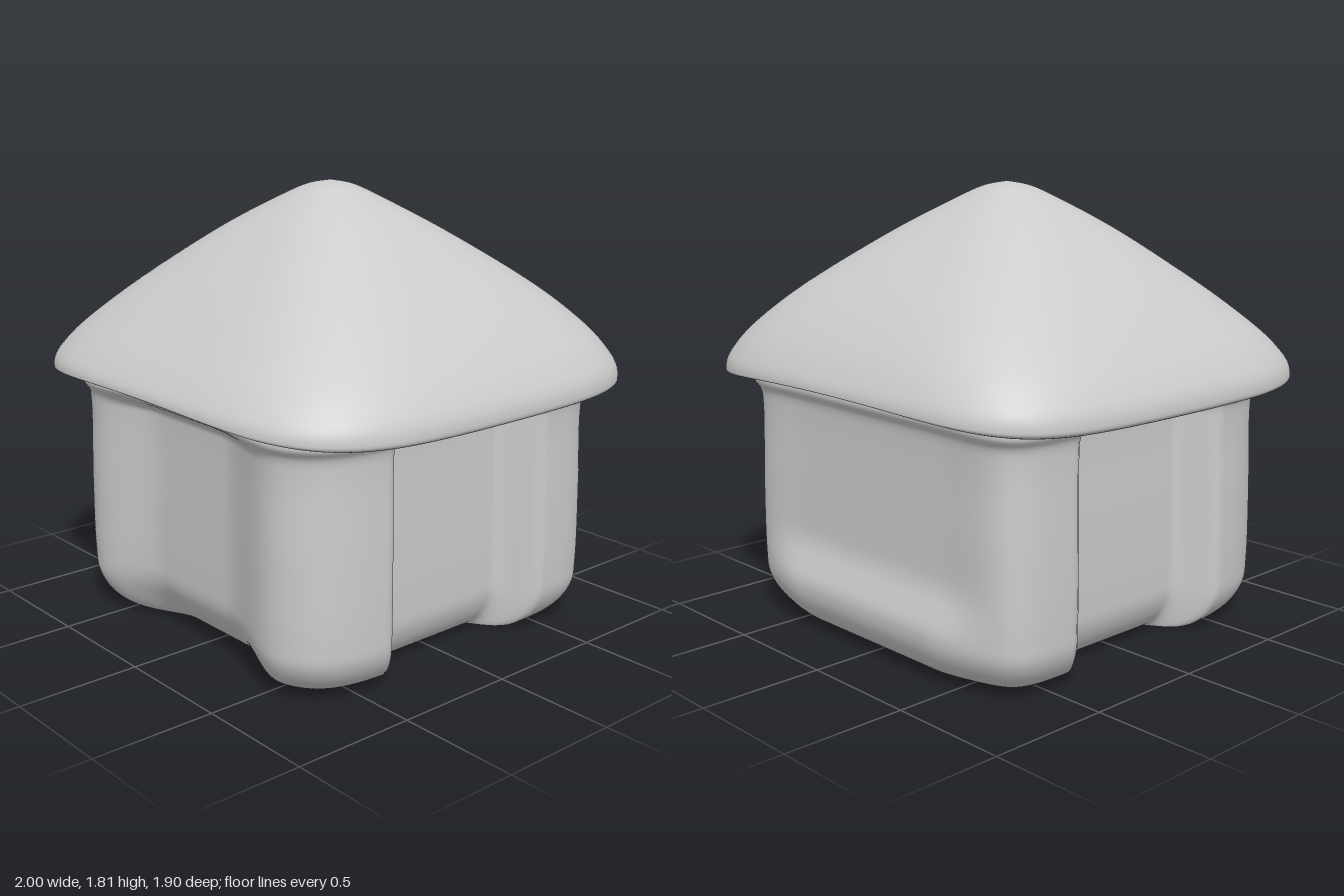
import * as THREE from 'three';

const SEGMENTS = 320;
const { lerp } = THREE.MathUtils;
const smooth = (a, b, v) => THREE.MathUtils.smoothstep(v, a, b);
const material = new THREE.MeshStandardMaterial({ color: 0xcccccc });

// Unit rounded square: point at an angle (0 = front, growing towards +x).
function roundedSquare(angle, n) {
  const x = Math.sin(angle), z = Math.cos(angle);
  const k = Math.pow(Math.abs(x) ** n + Math.abs(z) ** n, -1 / n);
  return [x * k, z * k];
}

// Smooth curve through a few profile points.
function profile(points, steps) {
  const vectors = points.map(([x, y, z = 0]) => new THREE.Vector3(x, y, z));
  return new THREE.CatmullRomCurve3(vectors, false, 'centripetal').getPoints(steps);
}

// Skin of closed rings stacked from bottom to top; pointAt returns [x, y, z].
function loft(name, rings, pointAt) {
  const positions = [], indices = [];
  rings.forEach((ring, i) => {
    for (let j = 0; j < SEGMENTS; j++) {
      positions.push(...pointAt(ring, (j / SEGMENTS) * Math.PI * 2));
      if (i === rings.length - 1) continue;
      const a = i * SEGMENTS + j, b = i * SEGMENTS + ((j + 1) % SEGMENTS);
      indices.push(a, b, b + SEGMENTS, a, b + SEGMENTS, a + SEGMENTS);
    }
  });
  const geometry = new THREE.BufferGeometry();
  geometry.setAttribute('position', new THREE.Float32BufferAttribute(positions, 3));
  geometry.setIndex(indices);
  geometry.computeVertexNormals();
  const mesh = new THREE.Mesh(geometry, material);
  mesh.name = name;
  return mesh;
}

// Walls: corner posts with recessed panels between, and a low ledge at the back.
function createWalls() {
  const rings = profile([ // scale, height
    [0.001, 0.015], [0.5, 0.015], [0.74, 0.003], [0.86, 0.018],
    [0.94, 0.07], [0.99, 0.15], [1, 0.25], [1, 0.55],
    [0.993, 0.88], [1, 0.95], [1.025, 0.99], [1.02, 1.02], [0.97, 1.08],
  ], 80);
  return loft('walls', rings, ({ x: scale, y }, angle) => {
    const frontness = smooth(-0.5, 0.5, Math.cos(angle));
    const [u, v] = roundedSquare(angle, lerp(9.5, 5.4, frontness));
    const x = u * 0.815;
    const z = v * (v > 0 ? 0.81 : 0.755);
    // recesses flare out again under the eave
    const cove = 1 - 0.6 * smooth(0.92, 1, y);
    // side panels
    const side = smooth(-0.43, -0.29, z) * (1 - smooth(0.28, 0.41, z));
    const sidePush = 0.15 * cove * side * smooth(0.6, 0.78, Math.abs(x));
    // front panel, undercut at its foot
    const front = smooth(0.5, 0.75, z) * (1 - smooth(0.2, 0.62, Math.abs(x)));
    const foot = 0.05 * (1 - smooth(0.03, 0.25, y));
    // back panel and ledge, both between the posts
    const back = smooth(0.45, 0.72, -z) * (1 - smooth(0.4, 0.74, Math.abs(x)));
    const bulge = lerp(0.05, -0.015, smooth(0.2, 0.4, y));
    const zPush = -back * bulge - (0.1 * cove + foot) * front;
    return [(x - Math.sign(x) * sidePush) * scale, y, (z + zPush) * scale];
  });
}

// Roof: soft four-sided cone with a rolled eave that arches over front and back.
function createRoof() {
  const rings = profile([ // scale, height, arch
    [0.001, 1, 1], [0.6, 1, 1], [0.8, 1, 1], [0.92, 1, 1], [0.98, 1.01, 0.85],
    [1, 1.045, 0.5], [0.97, 1.125, 0.15], [0.89, 1.225, 0], [0.7, 1.4, 0],
    [0.41, 1.622, 0], [0.2, 1.745, 0], [0.09, 1.795, 0], [0.001, 1.812, 0],
  ], 90);
  return loft('roof', rings, ({ x: scale, y, z: arch }, angle) => {
    const frontness = smooth(-0.7, 0.7, Math.cos(angle));
    const n = lerp(2.4, lerp(5.7, 4.8, frontness), smooth(0, 1, scale));
    const [u, v] = roundedSquare(angle, n);
    // bowed edges, a flatter front slope and a fuller lower back
    const x = u * scale * (1 - 0.06 * v * v);
    const sag = Math.sin(Math.PI * scale * lerp(2, 1, frontness));
    const depth = 0.95 - 0.035 * sag;
    const z = v * scale * depth * (1 - lerp(0.05, 0.025, frontness) * u * u);
    const lift = 0.07 * arch * (1 - u * u) * smooth(0.2, 0.68, Math.abs(z));
    return [x, y + lift, z];
  });
}

export function createModel() {
  const group = new THREE.Group();
  group.name = 'hut';
  group.add(createWalls(), createRoof());
  return group;
}
